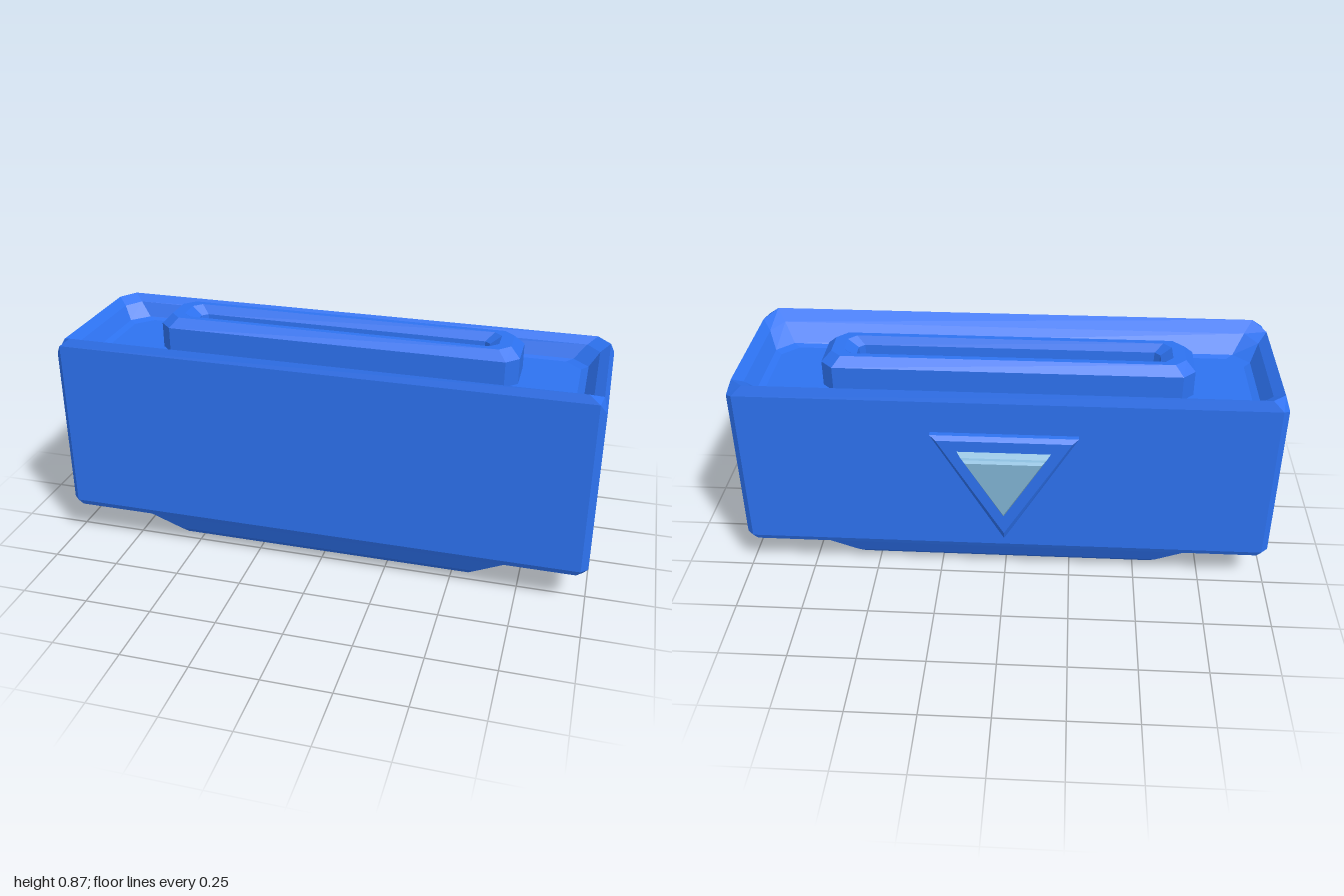
import * as THREE from 'three';

const blue = new THREE.MeshStandardMaterial({ color: 0x2d72f0, flatShading: true });
const pale = new THREE.MeshStandardMaterial({ color: 0x80b4d4, flatShading: true });

// Horizontal rectangle with cut corners; y is one height or [sides, front, back]
function ring(x0, x1, z0, z1, y, c) {
  const [s, f, b] = Array.isArray(y) ? y : [y, y, y];
  return [
    [x0 + c, f, z1], [x1 - c, f, z1], [x1, s, z1 - c], [x1, s, z0 + c],
    [x1 - c, b, z0], [x0 + c, b, z0], [x0, s, z0 + c], [x0, s, z1 - c],
  ];
}
const centred = (hx, z0, z1, y, c) => ring(-hx, hx, z0, z1, y, c);

// Skin over a series of rings, with optional end caps
function loft(name, rings, material, capStart, capEnd) {
  const n = rings[0].length, index = [], last = (rings.length - 1) * n;
  for (let r = 0; r < last; r += n) {
    for (let i = 0; i < n; i++) {
      const a = r + i, b = r + (i + 1) % n;
      index.push(a, b, b + n, a, b + n, a + n);
    }
  }
  for (let i = 1; i < n - 1; i++) {
    if (capStart) index.push(0, i + 1, i);
    if (capEnd) index.push(last, last + i, last + i + 1);
  }
  const geometry = new THREE.BufferGeometry();
  geometry.setAttribute('position', new THREE.Float32BufferAttribute(rings.flat(2), 3));
  geometry.setIndex(index);
  geometry.computeVertexNormals();
  const mesh = new THREE.Mesh(geometry, material);
  mesh.name = name;
  return mesh;
}

// Triangle on the back, point down
const triangle = (hx, top, bottom, z) => [[hx, top, z], [0, bottom, z], [-hx, top, z]];

export function createModel() {
  const model = new THREE.Group();

  // Box with chamfered edges, raised rim and sunken top
  model.add(loft('body', [
    centred(0.86, -0.225, 0.295, 0.122, 0.06),
    centred(0.96, -0.24, 0.31, 0.128, 0.03),
    centred(0.985, -0.255, 0.325, 0.135, 0.025),
    centred(1, -0.265, 0.335, 0.157, 0.025),
    centred(1, -0.265, 0.335, [0.77, 0.81, 0.78], 0.025),
    centred(0.985, -0.255, 0.325, [0.815, 0.84, 0.82], 0.05),
    centred(0.95, -0.225, 0.275, [0.79, 0.805, 0.795], 0.05),
    centred(0.915, -0.2, 0.215, 0.743, 0.06),
    centred(0.89, -0.185, 0.195, 0.735, 0.06),
  ], blue, false, true));

  // Tapered foot
  const base = centred(0.58, -0.13, 0.2, 0, 0.04);
  model.add(loft('foot', [
    base,
    centred(0.615, -0.15, 0.217, 0.007, 0.05),
    centred(0.65, -0.168, 0.232, 0.027, 0.06),
    centred(0.78, -0.203, 0.265, 0.1, 0.07),
    centred(0.81, -0.21, 0.278, 0.114, 0.07),
    centred(0.86, -0.225, 0.295, 0.122, 0.06),
  ], blue));

  // Underside with two pockets
  const flat = (points) => points.map(([x, , z]) => new THREE.Vector2(x, z));
  const underside = new THREE.Shape(flat(base));
  for (const side of [-1, 1]) {
    const cx = side * 0.315;
    const rect = (h, z0, z1, y, c) => ring(cx - h, cx + h, z0, z1, y, c);
    const mouth = rect(0.255, -0.085, 0.15, 0, 0.03);
    underside.holes.push(new THREE.Path(flat(mouth)));
    model.add(loft(side > 0 ? 'leftPocket' : 'rightPocket', [
      rect(0.2, -0.045, 0.11, 0.11, 0.015),
      rect(0.225, -0.06, 0.125, 0.015, 0.02),
      mouth,
    ], blue, true));
  }
  const sole = new THREE.Mesh(new THREE.ShapeGeometry(underside).rotateX(Math.PI / 2), blue);
  sole.name = 'underside';
  model.add(sole);

  // Raised frame with a long slot
  model.add(loft('slotFrame', [
    centred(0.68, -0.13, 0.11, 0.73, 0.045),
    centred(0.68, -0.13, 0.11, 0.831, 0.045),
    centred(0.645, -0.102, 0.082, 0.866, 0.04),
    centred(0.6, -0.08, 0.06, 0.866, 0.03),
    centred(0.56, -0.058, 0.045, 0.835, 0.02),
    centred(0.55, -0.05, 0.04, 0.745, 0.015),
  ], blue, false, true));

  // Triangular plate and inset on the back
  model.add(loft('trianglePlate', [
    triangle(0.268, 0.655, 0.2, -0.26),
    triangle(0.268, 0.655, 0.2, -0.285),
    triangle(0.245, 0.641, 0.235, -0.3),
  ], blue, false, true));
  model.add(loft('triangleInset', [
    triangle(0.17, 0.598, 0.315, -0.299),
    triangle(0.155, 0.582, 0.33, -0.317),
    triangle(0.148, 0.578, 0.333, -0.325),
    triangle(0.138, 0.57, 0.345, -0.335),
  ], pale, false, true));

  // Face the triangle skins outwards
  for (const name of ['trianglePlate', 'triangleInset']) {
    const g = model.getObjectByName(name).geometry, p = g.attributes.position;
    const [a, b, c] = [0, 1, 2].map((i) => new THREE.Vector3().fromBufferAttribute(p, i));
    if (b.sub(a).cross(c.sub(a)).z > 0) {
      g.setIndex(Array.from(g.index.array).reverse());
      g.computeVertexNormals();
    }
  }
  return model;
}
